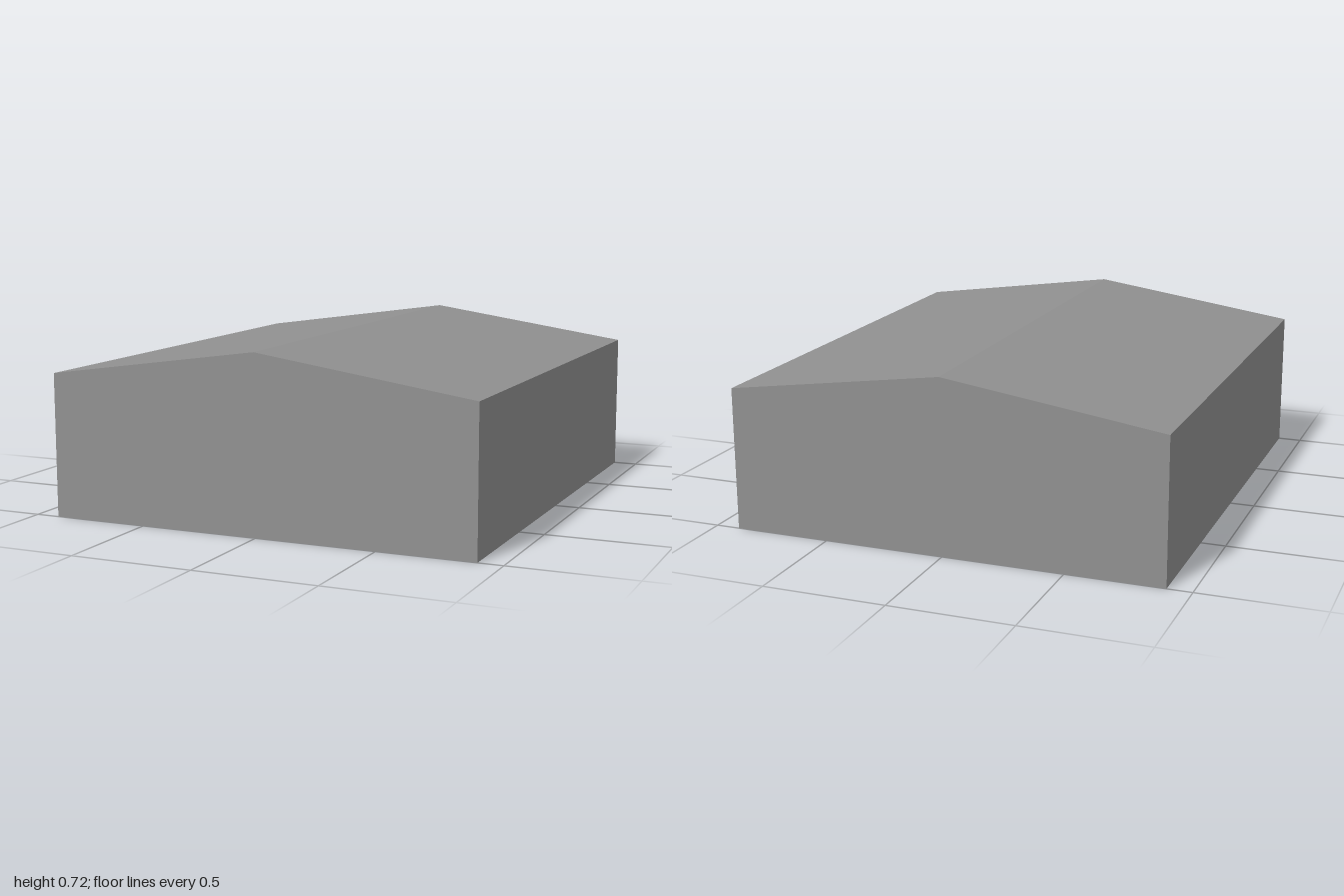
import * as THREE from 'three';

export function createModel() {
  const group = new THREE.Group();
  const grey = new THREE.MeshStandardMaterial({ color: 0x909090, side: THREE.DoubleSide });
  grey.name = 'plain grey';

  const depth = 2;
  // Cross-section from the right wall's foot, over the ridge, to the left wall's foot
  const profile = [[-0.9, 0], [-0.9, 0.59], [0, 0.72], [0.9, 0.59], [0.9, 0]]
    .map(([x, y]) => new THREE.Vector2(x, y));

  const add = (name, geometry) => {
    const mesh = new THREE.Mesh(geometry, grey);
    mesh.name = name;
    group.add(mesh);
    return mesh;
  };

  // Side walls and roof slopes: one flat panel per profile segment, open underneath
  ['rightWall', 'rightRoofSlope', 'leftRoofSlope', 'leftWall'].forEach((name, i) => {
    const a = profile[i], b = profile[i + 1];
    const panel = new THREE.PlaneGeometry(a.distanceTo(b), depth);
    panel.rotateX(-Math.PI / 2);
    panel.rotateZ(Math.atan2(b.y - a.y, b.x - a.x));
    panel.translate((a.x + b.x) / 2, (a.y + b.y) / 2, 0);
    add(name, panel);
  });

  // Gable walls at both ends
  const gable = new THREE.ShapeGeometry(new THREE.Shape(profile));
  add('frontGable', gable).position.z = depth / 2;
  const back = add('backGable', gable);
  back.position.z = -depth / 2;
  back.rotation.y = Math.PI;

  return group;
}
